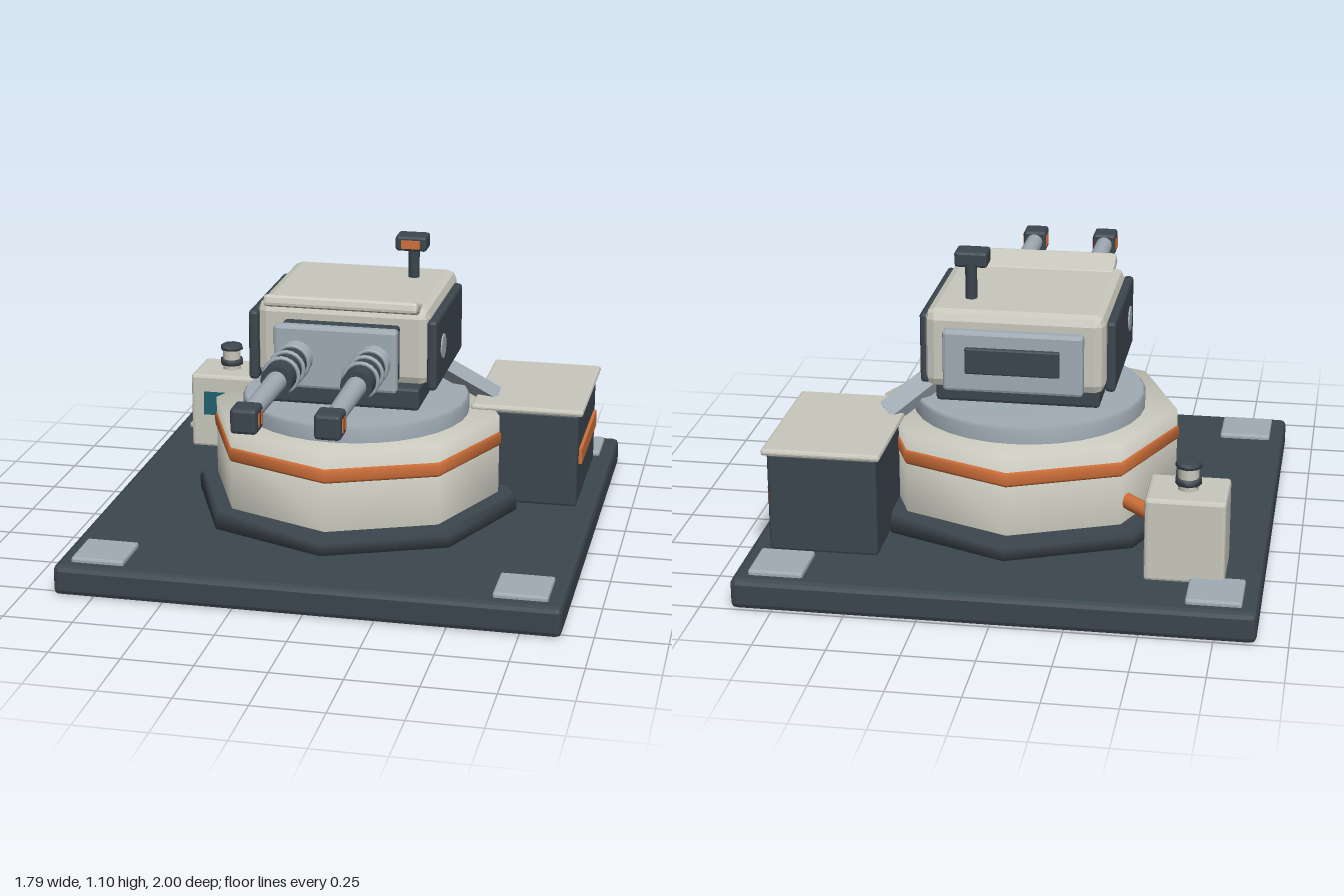
import * as THREE from 'three';
import { RoundedBoxGeometry } from 'three/addons/geometries/RoundedBoxGeometry.js';

const mat = (color, flatShading = false) => new THREE.MeshStandardMaterial({ color, flatShading });
const COLORS = { dark: 0x3c464e, cream: 0xc9c8bd, grey: 0xa0abb4, orange: 0xd0703a, teal: 0x1f6170 };
const smooth = {}, flat = {};
for (const key in COLORS) {
  smooth[key] = mat(COLORS[key]);
  flat[key] = mat(COLORS[key], true);
}

export function createModel() {
  const model = new THREE.Group();
  model.name = 'twinBarrelTurret';
  const CZ = -0.105; // turret axis

  const add = (name, geometry, material, parent = model) => {
    const mesh = new THREE.Mesh(geometry, material);
    mesh.name = name;
    parent.add(mesh);
    return mesh;
  };
  // chamfered box given by its [min, max] along each axis
  const box = (name, color, x, y, z, bevel = 0.01, parent = model) => {
    const size = [x, y, z].map(r => r[1] - r[0]);
    const geometry = bevel ? new RoundedBoxGeometry(...size, 1, bevel) : new THREE.BoxGeometry(...size);
    const mesh = add(name, geometry, flat[color], parent);
    mesh.position.set(...[x, y, z].map(r => (r[0] + r[1]) / 2));
    return mesh;
  };
  const lathe = (name, color, profile, sides, x, z) => {
    const points = profile.map(p => new THREE.Vector2(...p));
    const mesh = add(name, new THREE.LatheGeometry(points, sides), smooth[color]);
    mesh.position.set(x, 0, z);
    return mesh;
  };
  // cylinder lying along z
  const tubeZ = (name, color, rBack, rFront, z0, z1, parent, sides = 16) => {
    const geometry = new THREE.CylinderGeometry(rFront, rBack, z1 - z0, sides).rotateX(Math.PI / 2);
    const mesh = add(name, geometry, smooth[color], parent);
    mesh.position.z = (z0 + z1) / 2;
    return mesh;
  };
  // stretches a geometry built along y between two points
  const span = (mesh, a, b) => {
    mesh.position.copy(a).add(b).multiplyScalar(0.5);
    mesh.quaternion.setFromUnitVectors(new THREE.Vector3(0, 1, 0), b.clone().sub(a).normalize());
  };

  // base plate and corner pads
  box('basePlate', 'dark', [-0.893, 0.893], [0, 0.11], [-1, 0.79], 0.02);
  for (const s of [-1, 1]) for (const z of [-0.857, 0.643])
    box('cornerPad', 'grey', [s * 0.745 - 0.095, s * 0.745 + 0.095], [0.1, 0.127], [z - 0.096, z + 0.096], 0.008);

  // octagonal pedestal
  lathe('footRing', 'dark', [[0, 0.1], [0.607, 0.1], [0.607, 0.155], [0.59, 0.175], [0, 0.175]], 8, 0, CZ);
  lathe('drum', 'cream', [[0.538, 0.17], [0.538, 0.47], [0, 0.47]], 8, 0, CZ);
  lathe('drumBand', 'orange',
    [[0.52, 0.357], [0.538, 0.357], [0.545, 0.367], [0.545, 0.4], [0.538, 0.41], [0.52, 0.41]], 8, 0, CZ);
  lathe('turntable', 'grey', [[0.42, 0.46], [0.42, 0.52], [0.41, 0.532], [0, 0.532]], 32, 0, CZ);

  // turret housing
  const turret = new THREE.Group();
  turret.name = 'turretHead';
  model.add(turret);
  box('lowerHull', 'dark', [-0.29, 0.29], [0.565, 0.65], [-0.39, 0.19], 0.012, turret);
  box('housing', 'cream', [-0.315, 0.315], [0.64, 0.925], [-0.468, 0.14], 0.035, turret);
  box('mantletBlock', 'dark', [-0.21, 0.21], [0.66, 0.865], [0.1, 0.225], 0.01, turret);
  box('mantlet', 'grey', [-0.223, 0.223], [0.648, 0.878], [0.218, 0.265], 0.012, turret);
  box('rearPanel', 'grey', [-0.245, 0.245], [0.645, 0.865], [-0.502, -0.45], 0.012, turret);
  box('rearVent', 'dark', [-0.165, 0.165], [0.715, 0.81], [-0.515, -0.49], 0.006, turret);
  const visor = box('visor', 'cream', [-0.28, 0.28], [0.902, 0.945], [0.05, 0.185], 0.012, turret);
  visor.rotation.x = -0.3;

  for (const s of [-1, 1]) {
    box('sideArmor', 'dark', [s * 0.327 - 0.018, s * 0.327 + 0.018], [0.63, 0.888], [-0.395, 0.145], 0.012, turret);
    const hub = add('sideHub', new THREE.CylinderGeometry(0.045, 0.045, 0.03, 16).rotateZ(Math.PI / 2),
      smooth.grey, turret);
    hub.position.set(s * 0.335, 0.764, 0.02);

    // gun barrel
    const gun = new THREE.Group();
    gun.name = 'gun';
    gun.position.set(s * 0.14, 0.762, 0);
    turret.add(gun);
    tubeZ('collar', 'grey', 0.064, 0.056, 0.26, 0.31, gun);
    tubeZ('sleeve', 'dark', 0.056, 0.056, 0.3, 0.553, gun);
    for (const z of [0.325, 0.4, 0.475]) {
      const ring = add('sleeveRing', new THREE.TorusGeometry(0.06, 0.008, 6, 20), smooth.grey, gun);
      ring.position.z = z;
    }
    tubeZ('barrel', 'grey', 0.037, 0.032, 0.54, 0.92, gun);
    box('muzzle', 'dark', [-0.045, 0.045], [-0.044, 0.044], [0.905, 1], 0.012, gun);
    for (const t of [-1, 1]) for (const z of [0.93, 0.965])
      box('muzzleSlot', 'orange', [t * 0.044 - 0.004, t * 0.044 + 0.004], [-0.023, 0.023], [z - 0.007, z + 0.007], 0, gun);
  }

  // sight on top
  const post = add('sightPost', new THREE.CylinderGeometry(0.021, 0.021, 0.15, 10), smooth.dark, turret);
  post.position.set(0.175, 0.985, -0.308);
  box('sightHead', 'dark', [0.117, 0.233], [1.038, 1.095], [-0.325, -0.237], 0.01, turret);
  box('sightLens', 'orange', [0.14, 0.21], [1.05, 1.08], [-0.245, -0.228], 0, turret);

  // ammunition box and feed chute
  box('ammoBox', 'dark', [0.435, 0.82], [0.105, 0.47], [-0.735, -0.178], 0.012);
  box('ammoLid', 'cream', [0.42, 0.837], [0.463, 0.488], [-0.75, -0.165], 0.01);
  box('ammoStripe', 'orange', [0.81, 0.832], [0.265, 0.325], [-0.685, -0.22], 0);
  const a = new THREE.Vector3(0.28, 0.63, -0.21), b = new THREE.Vector3(0.48, 0.48, -0.32);
  const chute = add('feedChute', new THREE.BoxGeometry(0.05, a.distanceTo(b), 0.08), flat.grey);
  span(chute, a, b);

  // control box with screen, beacon and cable
  box('controlBox', 'cream', [-0.768, -0.493], [0.105, 0.405], [-0.785, -0.552], 0.012);
  box('controlScreen', 'teal', [-0.715, -0.545], [0.243, 0.337], [-0.565, -0.546], 0);
  lathe('beaconNeck', 'cream', [[0.036, 0.4], [0.036, 0.49]], 12, -0.63, -0.668);
  lathe('beaconBase', 'dark', [[0.03, 0.424], [0.045, 0.424], [0.045, 0.447], [0.03, 0.447]], 8, -0.63, -0.668);
  lathe('beaconCap', 'dark', [[0, 0.486], [0.045, 0.486], [0.045, 0.498], [0.036, 0.506], [0, 0.506]], 8, -0.63, -0.668);
  const c = new THREE.Vector3(-0.58, 0.25, -0.63), d = new THREE.Vector3(-0.34, 0.25, -0.39);
  const cable = add('powerCable', new THREE.CylinderGeometry(0.028, 0.028, c.distanceTo(d), 10), smooth.orange);
  span(cable, c, d);

  return model;
}
